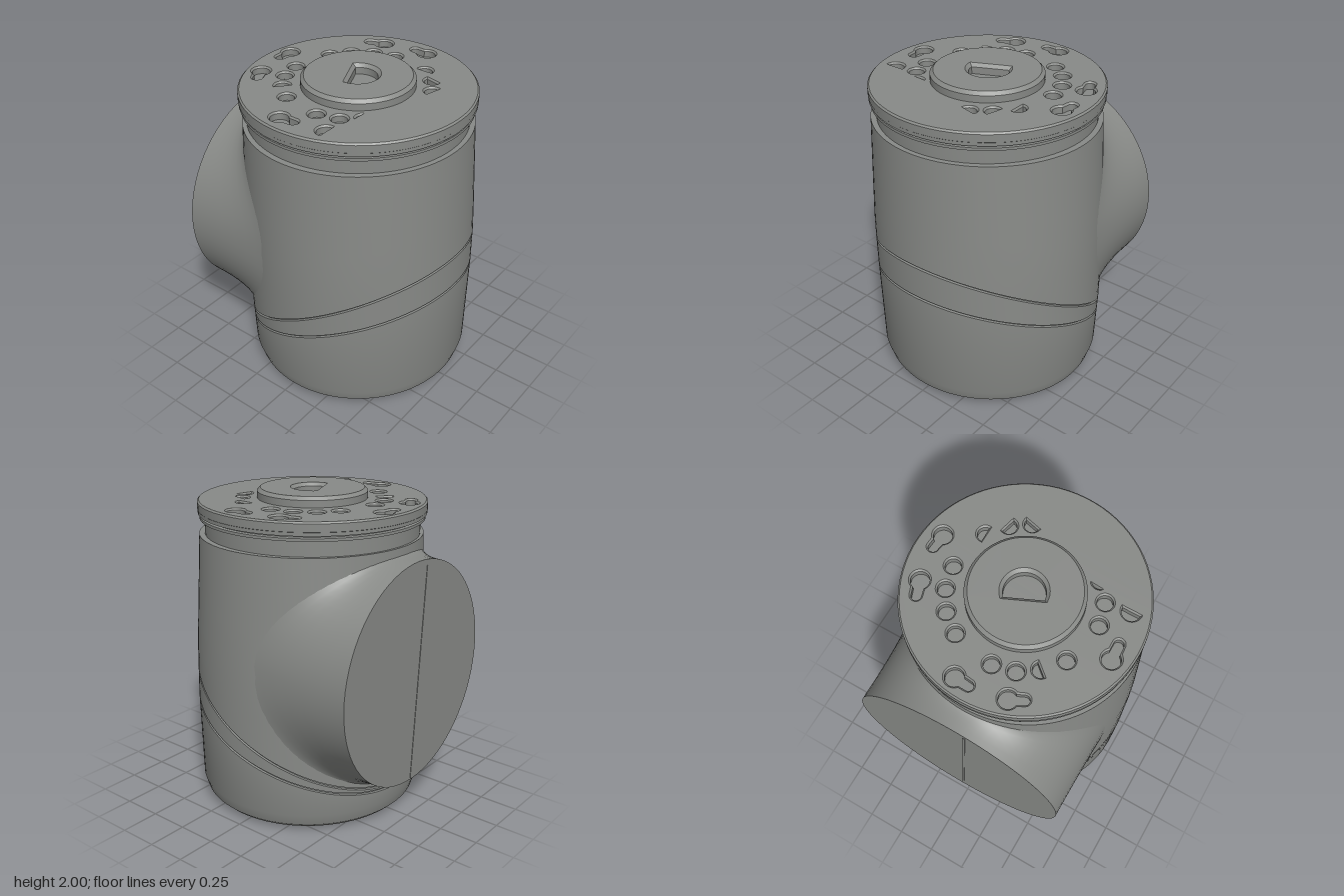
import * as THREE from 'three';
import { toCreasedNormals } from 'three/addons/utils/BufferGeometryUtils.js';

const TAU = Math.PI * 2;
const CX = -0.018, CZ = 0.038; // axis of the flange and hub

// Closed skin through rings; each ring is a function angle -> [x, y, z]
function skin(rings, n, crease) {
  const pos = [], idx = [];
  rings.forEach((ring, j) => {
    for (let i = 0; i < n; i++) {
      pos.push(...ring((i / n) * TAU));
      if (j === rings.length - 1) continue;
      const a = j * n + i, b = j * n + ((i + 1) % n);
      idx.push(a, b, a + n, b, b + n, a + n);
    }
  });
  const g = new THREE.BufferGeometry();
  g.setAttribute('position', new THREE.Float32BufferAttribute(pos, 3));
  g.setIndex(idx);
  return toCreasedNormals(g, crease);
}

// Body radius by height
const PROFILE = [[0, 0.635], [0.02, 0.668], [0.05, 0.7], [0.12, 0.722], [0.5, 0.735], [1.0, 0.735], [1.73, 0.702]];
function radiusAt(y) {
  let k = 1;
  while (k < PROFILE.length - 1 && y > PROFILE[k][0]) k++;
  const [y0, r0] = PROFILE[k - 1], [y1, r1] = PROFILE[k];
  return r0 + (r1 - r0) * THREE.MathUtils.clamp((y - y0) / (y1 - y0), 0, 1);
}
const centreX = (y) => CX * THREE.MathUtils.clamp((y - 0.6) / 1.1, 0, 1);
const bodyPoint = (a, y, inset = 0) => {
  const r = radiusAt(y) - inset;
  return [centreX(y) + r * Math.sin(a), y, 0.045 + 0.98 * r * Math.cos(a)];
};

// Heights of the two slanted seams
const lowerSeam = (a) => 0.49 + 0.28 * Math.cos(a);
const upperSeam = (a) => 0.615 + 0.38 * Math.cos(a);

function bodyGeometry() {
  const rings = [() => [0, 0, 0.045]];
  for (const [y] of PROFILE.slice(0, 4)) rings.push((a) => bodyPoint(a, y));
  const groove = (seam) => {
    for (const [dy, inset] of [[-0.009, 0], [-0.007, 0.015], [0.005, 0.015], [0.007, 0]])
      rings.push((a) => bodyPoint(a, seam(a) + dy, inset));
  };
  groove(lowerSeam);
  groove(upperSeam);
  for (let k = 1; k <= 5; k++)
    rings.push((a) => bodyPoint(a, THREE.MathUtils.lerp(upperSeam(a) + 0.007, 1.73, k / 5)));
  rings.push((a) => bodyPoint(a, 1.73, 0.1));
  return skin(rings, 96, 0.5);
}

// Round rear port, flaring smoothly into the body
function portGeometry() {
  const rings = [], R = 0.7, cy = 0.97, back = -0.77;
  const bend = (v, p) => Math.sign(v) * Math.pow(Math.abs(v), p);
  rings.push(() => [0, cy, back]);
  rings.push((a) => [R * Math.cos(a), cy + R * Math.sin(a), back]);
  const onBody = (x, y) => {
    const r = radiusAt(y) - 0.01, u = x - centreX(y);
    return 0.045 - 0.98 * Math.sqrt(Math.max(0, r * r - u * u));
  };
  const steps = 8;
  for (let k = 0; k <= steps; k++) {
    const t = k / steps;
    rings.push((a) => {
      const c = Math.cos(a), s = Math.sin(a);
      const power = s > 0 ? 0.62 : 0.75; // the flare spreads wider above
      const x = 0.715 * bend(c, power), y = cy + 0.72 * bend(s, power);
      const p0 = [R * c, cy + R * s, back];
      const p1 = [p0[0], p0[1], onBody(p0[0], p0[1])];
      const p2 = [x, y, onBody(x, y)];
      return [0, 1, 2].map((i) => (1 - t) ** 2 * p0[i] + 2 * t * (1 - t) * p1[i] + t * t * p2[i]);
    });
  }
  return skin(rings, 72, 0.6);
}

// Holes are drawn in plan: x and -z
function roundHole(x, z, r, from = 0, to = TAU) {
  const p = new THREE.Path();
  p.absarc(x, -z, r, from, to, false);
  p.closePath();
  return p;
}
function keyhole(x, z, lx, lz) {
  const p = new THREE.Path();
  const dir = Math.atan2(-(lz - z), lx - x);
  p.absarc(x, -z, 0.054, dir + 0.6, dir + TAU - 0.6, false);
  p.absarc(lx, -lz, 0.029, dir - 1.4, dir + 1.4, false);
  p.closePath();
  return p;
}
// Round plate with bevelled rim and hole edges
function plate(radius, holes, y, depth, bevel) {
  const s = new THREE.Shape();
  s.absarc(CX, -CZ, radius, 0, TAU, false);
  s.holes.push(...holes);
  const g = new THREE.ExtrudeGeometry(s, {
    depth, curveSegments: 40, bevelSize: bevel,
    bevelThickness: bevel, bevelOffset: -bevel, bevelSegments: 1,
  });
  g.rotateX(-Math.PI / 2).translate(0, y, 0);
  return toCreasedNormals(g, 0.5);
}

export function createModel() {
  const group = new THREE.Group();
  const material = new THREE.MeshStandardMaterial({ color: 0x888a87 });
  const add = (name, geometry) => {
    const m = new THREE.Mesh(geometry, material);
    m.name = name;
    group.add(m);
    return m;
  };

  add('bodyShell', bodyGeometry());
  add('rearPort', portGeometry());

  // Fine, slightly tilted seam across the port face
  const seam = add('portSeam', new THREE.BoxGeometry(0.016, 1.35, 0.006));
  seam.position.set(-0.04, 0.955, -0.77);
  seam.rotation.z = 0.07;

  // Neck, lip and flange rim, capped below the drilled plate
  const rim = [
    [0.6, 1.72], [0.665, 1.72], [0.665, 1.825], [0.695, 1.825], [0.695, 1.842], [0.68, 1.847],
    [0.68, 1.853], [0.704, 1.857], [0.704, 1.89], [0, 1.89],
  ].map(([r, y]) => new THREE.Vector2(r, y));
  const neck = add('neckAndFlange', toCreasedNormals(new THREE.LatheGeometry(rim, 80), 0.5));
  neck.position.set(CX, 0, CZ);

  // Drilled plate: bolt holes, cut-off holes and keyhole slots
  const bolts = [
    [-0.06, -0.405], [-0.195, -0.375], [-0.4, -0.185], [-0.455, 0.08], [-0.42, 0.215],
    [0.2, -0.35], [0.31, -0.265], [0.385, -0.15], [0.42, -0.01],
  ].map(([x, z]) => roundHole(x, z, 0.046));
  const cutOff = [
    [-0.305, -0.3, 0.046, -0.7, 2.44], [-0.335, 0.315, 0.046, 0.8, 2.2], [0.365, 0.25, 0.046, -1.57, 1.57],
    [0.275, 0.36, 0.046, 1.2, 4.6], [0.165, 0.435, 0.046, -0.25, 2.9], [-0.57, 0.24, 0.054, 0, 3.14],
  ].map((h) => roundHole(...h));
  const slots = [
    [-0.235, -0.53, -0.315, -0.49], [0.075, -0.565, -0.015, -0.57], [0.535, -0.175, 0.505, -0.265],
    [0.57, 0.125, 0.58, 0.035], [-0.605, -0.06, -0.6, 0.035],
  ].map((k) => keyhole(...k));
  add('drilledPlate', plate(0.706, [...bolts, ...cutOff, ...slots], 1.88, 0.047, 0.01));

  // Raised hub with a half-round socket
  const socket = roundHole(-0.015, 0.03, 0.12, Math.PI + 0.1, TAU + 0.75);
  add('hub', plate(0.34, [socket], 1.935, 0.045, 0.02));

  return group;
}
